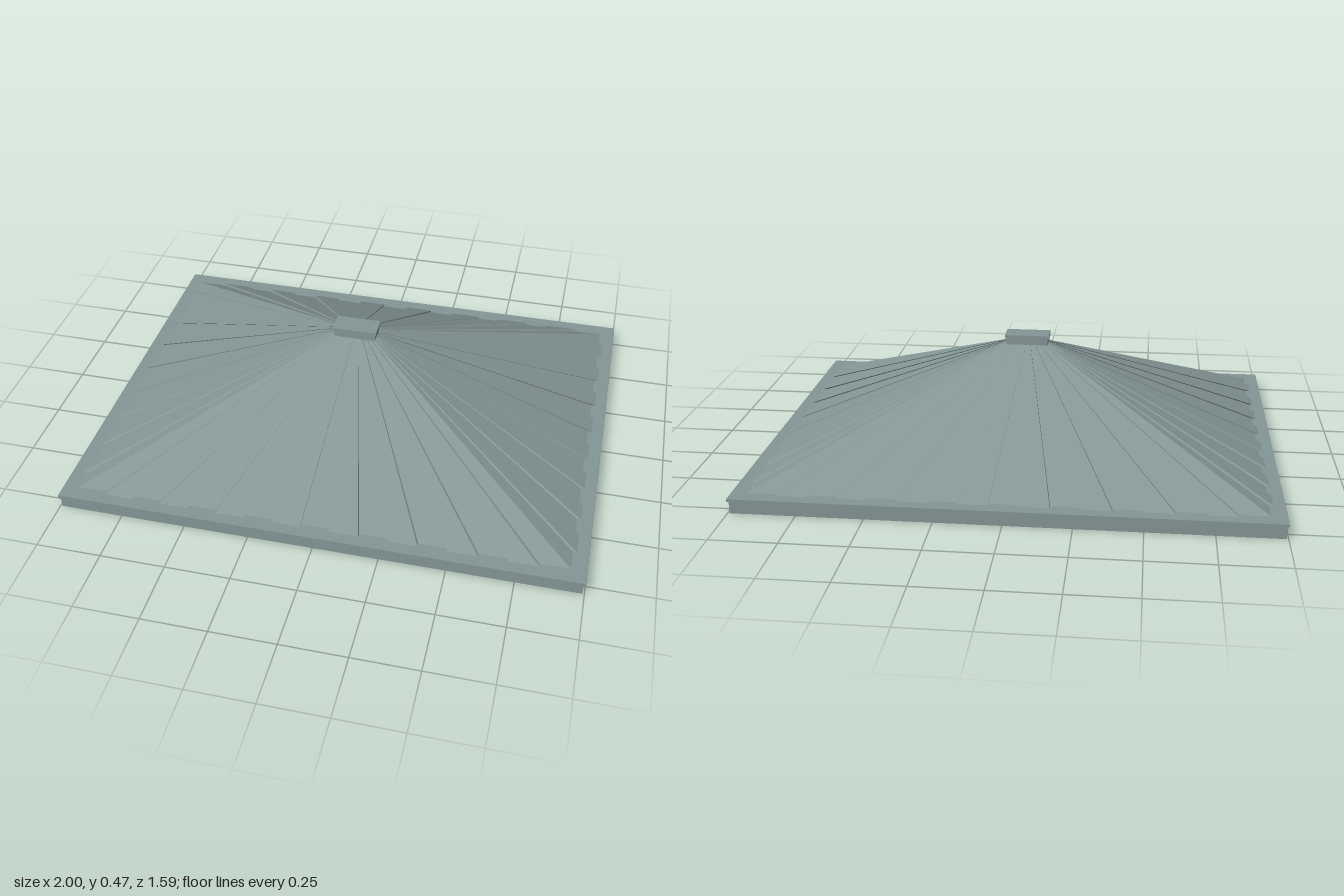
import * as THREE from 'three';

const metal = new THREE.MeshStandardMaterial({ color: 0x849696, flatShading: true });

// Box given by its extents on each axis
function slab(name, x0, x1, y0, y1, z0, z1) {
  const mesh = new THREE.Mesh(new THREE.BoxGeometry(x1 - x0, y1 - y0, z1 - z0), metal);
  mesh.name = name;
  mesh.position.set((x0 + x1) / 2, (y0 + y1) / 2, (z0 + z1) / 2);
  return mesh;
}

// Hipped roof: each slope has alternating low and raised strips fanning down from the cap
function ribbedRoof() {
  const strips = 17;
  const eave = { x0: -0.955, x1: 0.955, z0: -0.743, z1: 0.743, y: 0.052, rise: 0.015 };
  const crown = { x0: -0.093, x1: 0.069, z0: -0.029, z1: 0.043, y: 0.434, rise: 0.006 };

  // Corrugated outline, counter-clockwise from above
  const outline = ({ x0, x1, z0, z1, y, rise }) => {
    const corners = [[x0, z1], [x1, z1], [x1, z0], [x0, z0]];
    const outward = [[0, 1], [1, 0], [0, -1], [-1, 0]];
    const points = [];
    for (let side = 0; side < 4; side++) {
      const a = corners[side], b = corners[(side + 1) % 4], n = outward[side];
      for (let i = 0; i < strips; i++) {
        const r = i % 2 ? rise : 0;
        for (const t of [i / strips, (i + 1) / strips]) {
          points.push([a[0] + (b[0] - a[0]) * t + n[0] * r, y, a[1] + (b[1] - a[1]) * t + n[1] * r]);
        }
      }
    }
    return points;
  };

  const low = outline(eave), high = outline(crown), positions = [];
  low.forEach((p, i) => {
    const j = (i + 1) % low.length;
    if (p[0] === low[j][0] && p[2] === low[j][2]) return; // shared corner
    for (const v of [p, low[j], high[j], p, high[j], high[i]]) positions.push(...v);
  });
  const geometry = new THREE.BufferGeometry();
  geometry.setAttribute('position', new THREE.Float32BufferAttribute(positions, 3));
  geometry.computeVertexNormals();
  const mesh = new THREE.Mesh(geometry, metal);
  mesh.name = 'ribbedRoof';
  return mesh;
}

export function createModel() {
  const model = new THREE.Group();
  model.name = 'hippedRoof';
  model.add(
    // Fascia and the thin lip on top of it
    slab('fascia', -0.993, 0.993, 0, 0.048, -0.787, 0.787),
    slab('eaveLip', -1, 1, 0.048, 0.058, -0.793, 0.793),
    ribbedRoof(),
    // Vent cap at the peak
    slab('capNeck', -0.095, 0.071, 0.42, 0.46, -0.031, 0.046),
    slab('capLid', -0.1, 0.076, 0.46, 0.472, -0.036, 0.051),
  );
  return model;
}
